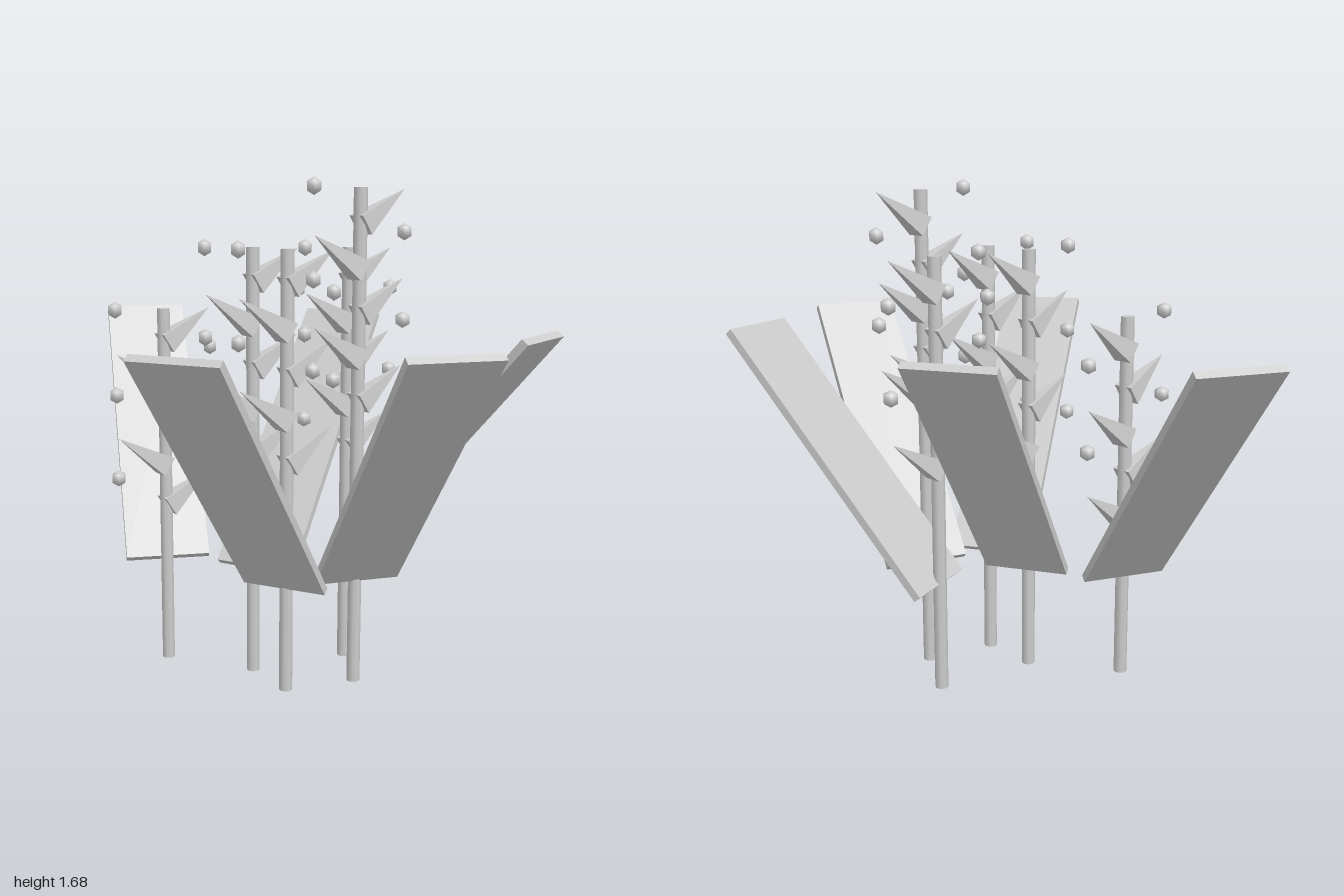
import * as THREE from 'three';

export function createModel() {
  const model = new THREE.Group();
  const grey = new THREE.MeshStandardMaterial({ color: 0xcccccc });
  grey.name = 'pale grey';

  const add = (parent, name, geometry, x, y, z) => {
    const mesh = new THREE.Mesh(geometry, grey);
    mesh.name = name;
    mesh.position.set(x, y, z);
    parent.add(mesh);
    return mesh;
  };

  // Four-sided blossom cone with its flat sides facing front and back
  const blossom = new THREE.ConeGeometry(0.05, 0.21, 4).rotateY(Math.PI / 4).toNonIndexed();
  blossom.computeVertexNormals();
  const bud = new THREE.SphereGeometry(0.028, 6, 3);
  const leaf = new THREE.BoxGeometry(0.293, 1.08, 0.027);

  // Flower stalks: x, z, height
  const stalks = [
    [-0.224, -0.268, 1.25],
    [-0.034, 0.0, 1.46],
    [0.313, 0.06, 1.455],
    [-0.034, 0.203, 1.46],
    [0.204, 0.262, 1.65],
  ];
  for (const [x, z, height] of stalks) {
    const stalk = new THREE.Group();
    stalk.name = 'flowerStalk';
    stalk.position.set(x, 0, z);
    add(stalk, 'stem', new THREE.CylinderGeometry(0.0225, 0.0225, height, 8), 0, height / 2, 0);

    // Blossoms alternate sides down the stalk, each with a bud opposite
    for (let i = 0; i < 5; i++) {
      const side = i % 2 ? -1 : 1;
      const y = height - i * 0.143;
      const cone = add(stalk, 'blossom', blossom, side * 0.09, y - 0.061, 0);
      cone.rotation.z = -side;
      add(stalk, 'bud', bud, -side * 0.181, y + 0.002, 0);
    }
    model.add(stalk);
  }

  // Outward leaning leaves: centre x, centre z, horizontal lean direction
  const leaves = [
    [-0.088, -0.6, 0.368, -0.93],
    [0.286, -0.175, 0.877, -0.48],
    [0.446, 0.385, 0.378, 0.926],
    [0.11, 0.602, -0.272, 0.962],
    [-0.34, 0.385, -0.86, 0.51],
  ];
  for (const [x, z, dx, dz] of leaves) {
    const mesh = add(model, 'leaf', leaf, x, 0.78, z);
    mesh.rotation.set(0.7, Math.atan2(dx, dz), 0, 'YXZ');
  }

  return model;
}
